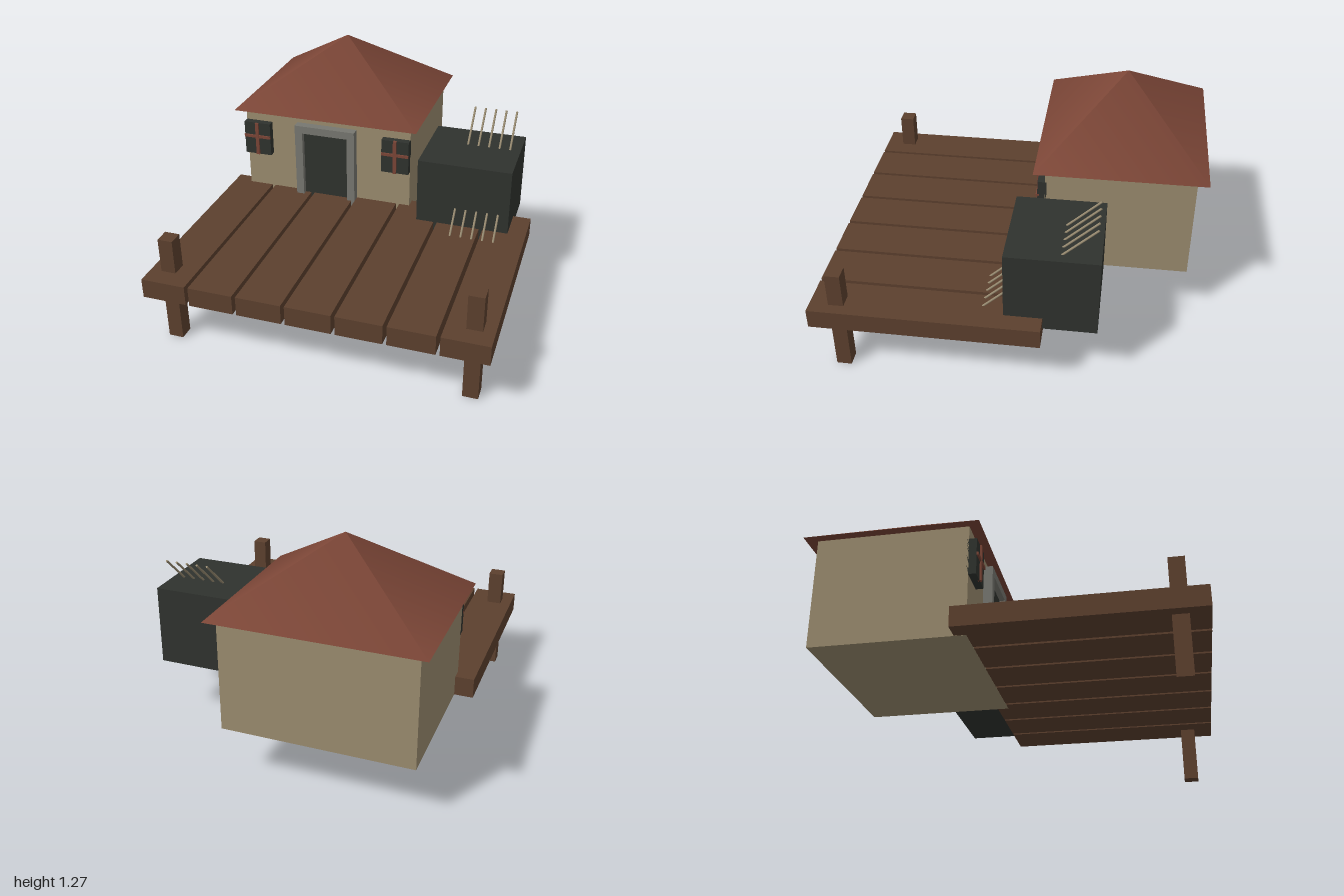
import * as THREE from 'three';

const mat = (color) => new THREE.MeshStandardMaterial({ color });

export function createModel() {
  const root = new THREE.Group();
  const wood = mat(0x5c402e), wall = mat(0x9a8b6e), tile = mat(0x7a4536);
  const dark = mat(0x2f322e), stone = mat(0x777770), rodWood = mat(0x978a70);

  const add = (name, geometry, material, parent = root) => {
    const mesh = new THREE.Mesh(geometry, material);
    mesh.name = name;
    parent.add(mesh);
    return mesh;
  };
  // Box given by its minimum and maximum corners
  const box = (name, material, [x0, y0, z0], [x1, y1, z1], parent) => {
    const mesh = add(name, new THREE.BoxGeometry(x1 - x0, y1 - y0, z1 - z0), material, parent);
    mesh.position.set((x0 + x1) / 2, (y0 + y1) / 2, (z0 + z1) / 2);
    return mesh;
  };

  // Deck of seven planks, running front to back
  const deck = new THREE.Group();
  deck.name = 'deck';
  root.add(deck);
  for (let i = 0; i < 7; i++) {
    const x = -0.9 + i * 0.26;
    box('plank', wood, [x, 0.303, -0.2], [x + 0.24, 0.41, 1], deck);
  }

  // Two posts through the front corners of the deck
  for (const s of [-1, 1]) {
    box('post', wood, [s * 0.8 - 0.04, 0, 0.82], [s * 0.8 + 0.04, 0.6, 0.9]);
  }

  // House body and four-sided roof
  const house = new THREE.Group();
  house.name = 'house';
  root.add(house);
  box('walls', wall, [-0.8, 0.302, -0.94], [0.2, 0.905, -0.14], house);
  const roofGeometry = new THREE.ConeGeometry(Math.SQRT2, 0.365, 4);
  roofGeometry.rotateY(Math.PI / 4);
  roofGeometry.scale(0.547, 1, 0.46);
  add('roof', roofGeometry, tile, house).position.set(-0.302, 1.085, -0.54);

  // Doorway: stone surround with the door set back inside it
  const surround = new THREE.Shape([
    [-0.48, 0.32], [-0.435, 0.32], [-0.435, 0.805], [-0.165, 0.805],
    [-0.165, 0.32], [-0.12, 0.32], [-0.12, 0.85], [-0.48, 0.85],
  ].map(([x, y]) => new THREE.Vector2(x, y)));
  const surroundGeometry = new THREE.ExtrudeGeometry(surround, { depth: 0.06, bevelEnabled: false });
  add('doorFrame', surroundGeometry, stone, house).position.z = -0.15;
  box('door', dark, [-0.437, 0.32, -0.15], [-0.163, 0.807, -0.12], house);

  // Windows with crossed bars
  for (const x of [-0.72, 0.12]) {
    const win = new THREE.Group();
    win.name = 'window';
    house.add(win);
    box('pane', dark, [x - 0.08, 0.63, -0.15], [x + 0.08, 0.83, -0.1], win);
    box('uprightBar', tile, [x - 0.01, 0.63, -0.11], [x + 0.01, 0.83, -0.09], win);
    box('crossBar', tile, [x - 0.08, 0.736, -0.11], [x + 0.08, 0.752, -0.091], win);
  }

  // Dark crate with five slanting rods passing through it
  box('crate', dark, [0.28, 0.343, -0.48], [0.8, 0.783, 0]);
  const low = new THREE.Vector3(0, 0.405, 0.115), high = new THREE.Vector3(0, 0.942, -0.458);
  const along = high.clone().sub(low);
  const rodGeometry = new THREE.CylinderGeometry(0.006, 0.006, along.length(), 8);
  for (let i = 0; i < 5; i++) {
    const rod = add('rod', rodGeometry, rodWood);
    rod.position.copy(low).add(high).multiplyScalar(0.5);
    rod.position.x = 0.5 + i * 0.06;
    rod.quaternion.setFromUnitVectors(new THREE.Vector3(0, 1, 0), along.clone().normalize());
  }
  return root;
}
